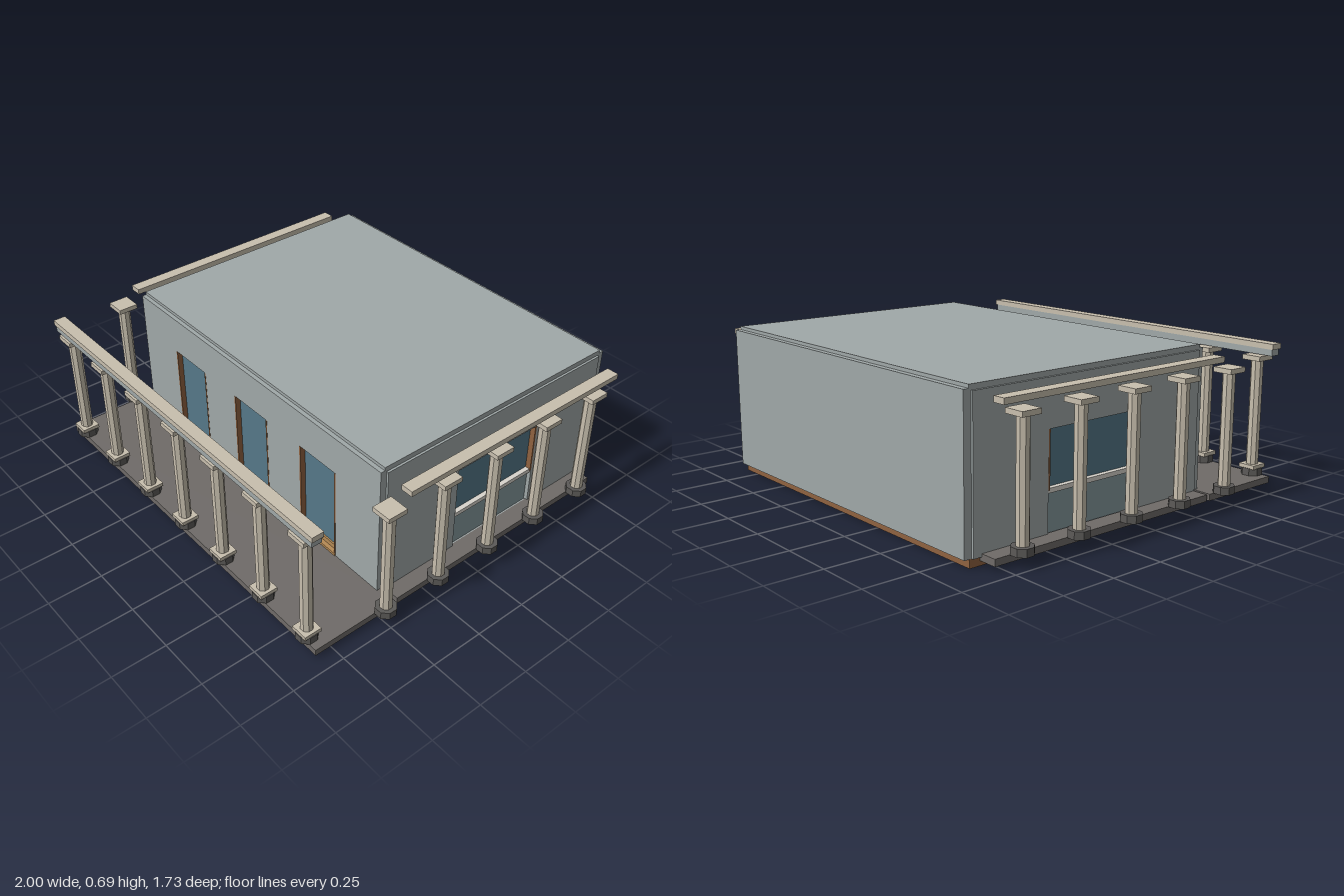
import * as THREE from 'three';

const mat = (color, opts = {}) => new THREE.MeshStandardMaterial({ color, ...opts });
const wallMat = mat(0xa0a8a8);
const stone = mat(0xc8bfae, { flatShading: true });
const dark = mat(0x6f6b68, { flatShading: true });
const baseMat = mat(0x5c5a58, { flatShading: true });
const wood = mat(0x8f6240);
const sillMat = mat(0xb58a55);
const glass = mat(0x557888);
const panelMat = mat(0x84989d);
const ledgeMat = mat(0xd8d4cc);

// Box given by its extents on each axis
function box(name, [x0, x1], [y0, y1], [z0, z1], material) {
  const mesh = new THREE.Mesh(new THREE.BoxGeometry(x1 - x0, y1 - y0, z1 - z0), material);
  mesh.position.set((x0 + x1) / 2, (y0 + y1) / 2, (z0 + z1) / 2);
  mesh.name = name;
  return mesh;
}

// Upright wall with rectangular openings [x0, x1, y0, y1]
function wall(name, [x0, x1], [y0, y1], depth, openings) {
  const rect = (target, a, b, c, d) =>
    target.moveTo(a, c).lineTo(b, c).lineTo(b, d).lineTo(a, d).closePath();
  const shape = rect(new THREE.Shape(), x0, x1, y0, y1);
  for (const o of openings) shape.holes.push(rect(new THREE.Path(), ...o));
  const geometry = new THREE.ExtrudeGeometry(shape, { depth, bevelEnabled: false });
  const mesh = new THREE.Mesh(geometry, wallMat);
  mesh.name = name;
  return mesh;
}

// Octagonal column: dark foot, optional square plinth, shaft and capital
function column(name, x, z, plinth) {
  const group = new THREE.Group();
  group.name = name;
  const prism = (part, radius, y0, y1, material) => {
    const geometry = new THREE.CylinderGeometry(radius, radius, y1 - y0, 8);
    geometry.rotateY(Math.PI / 8);
    const mesh = new THREE.Mesh(geometry, material);
    mesh.position.y = (y0 + y1) / 2;
    mesh.name = part;
    group.add(mesh);
  };
  prism('foot', 0.048, 0.05, 0.084, baseMat);
  prism('shaft', 0.028, 0.08, 0.59, stone);
  if (plinth) group.add(box('plinth', [-0.041, 0.041], [0.082, 0.1], [-0.041, 0.041], stone));
  group.add(box('capital', [-0.047, 0.047], [0.583, 0.605], [-0.047, 0.047], stone));
  group.position.set(x, 0, z);
  return group;
}

export function createModel() {
  const model = new THREE.Group();
  model.name = 'pavilion';

  // Floor, terrace and roof
  model.add(
    box('woodFloor', [-0.845, 0.845], [0, 0.04], [-0.84, 0.42], wood),
    box('frontTerrace', [-0.933, 0.933], [0.02, 0.05], [0.42, 0.837], dark),
    box('roof', [-0.845, 0.845], [0.64, 0.695], [-0.84, 0.42], wallMat),
    box('backWall', [-0.845, 0.845], [0.037, 0.68], [-0.865, -0.825], wallMat)
  );

  // Front wall with three doorways
  const doors = [-0.46, 0, 0.46];
  const frontWall = wall('frontWall', [-0.845, 0.845], [0.04, 0.68], 0.035,
    doors.map((x) => [x - 0.118, x + 0.118, 0.05, 0.503]));
  frontWall.position.z = 0.405;
  model.add(frontWall);
  for (const x of doors) {
    const door = new THREE.Group();
    door.name = 'door';
    door.add(
      box('doorGlass', [-0.118, 0.118], [0.06, 0.503], [0.408, 0.416], glass),
      box('threshold', [-0.118, 0.118], [0.045, 0.062], [0.405, 0.444], sillMat),
      box('doorBottomRail', [-0.112, 0.112], [0.06, 0.085], [0.41, 0.424], sillMat)
    );
    for (const s of [-1, 1]) {
      const jamb = box('doorJamb', [-0.004, 0.004], [0.06, 0.503], [0.408, 0.441], wood);
      jamb.position.x = s * 0.114;
      door.add(jamb);
    }
    door.position.x = x;
    model.add(door);
  }

  // Side walls, windows, walkways, beams and columns
  for (const s of [-1, 1]) {
    const side = s > 0 ? 'left' : 'right';
    const span = (a, b) => (s > 0 ? [a, b] : [-b, -a]);
    const sideWall = wall(side + 'Wall', [-0.41, 0.83], [0.037, 0.672], 0.035,
      [[-0.014, 0.458, 0.046, 0.47]]);
    sideWall.rotation.y = Math.PI / 2;
    sideWall.position.x = s > 0 ? 0.82 : -0.855;
    model.add(
      sideWall,
      box(side + 'WindowGlass', span(0.822, 0.83), [0.22, 0.47], [-0.458, 0.014], glass),
      box(side + 'WindowPanel', span(0.822, 0.836), [0.04, 0.22], [-0.458, 0.014], panelMat),
      box(side + 'WindowLedge', span(0.822, 0.852), [0.213, 0.233], [-0.458, 0.014], ledgeMat),
      box(side + 'WindowJamb', span(0.822, 0.856), [0.225, 0.47], [-0.458, -0.45], wood),
      box(side + 'Walkway', span(0.845, 0.93), [0.02, 0.05], [-0.79, 0.405], dark),
      box(side + 'Beam', span(0.93, 0.987), [0.638, 0.663], [-0.797, 0.411], stone)
    );
    for (let i = 0; i < 5; i++) {
      model.add(column(side + 'Column', s * 0.953, 0.488 - i * 0.291, false));
    }
  }

  // Front colonnade and its two-layer beam
  for (let i = -3; i <= 3; i++) model.add(column('frontColumn', i * 0.284, 0.815, true));
  model.add(
    box('frontLowerBeam', [-0.935, 0.935], [0.608, 0.638], [0.805, 0.853], wallMat),
    box('frontUpperBeam', [-0.943, 0.943], [0.638, 0.663], [0.8, 0.857], stone)
  );
  return model;
}
